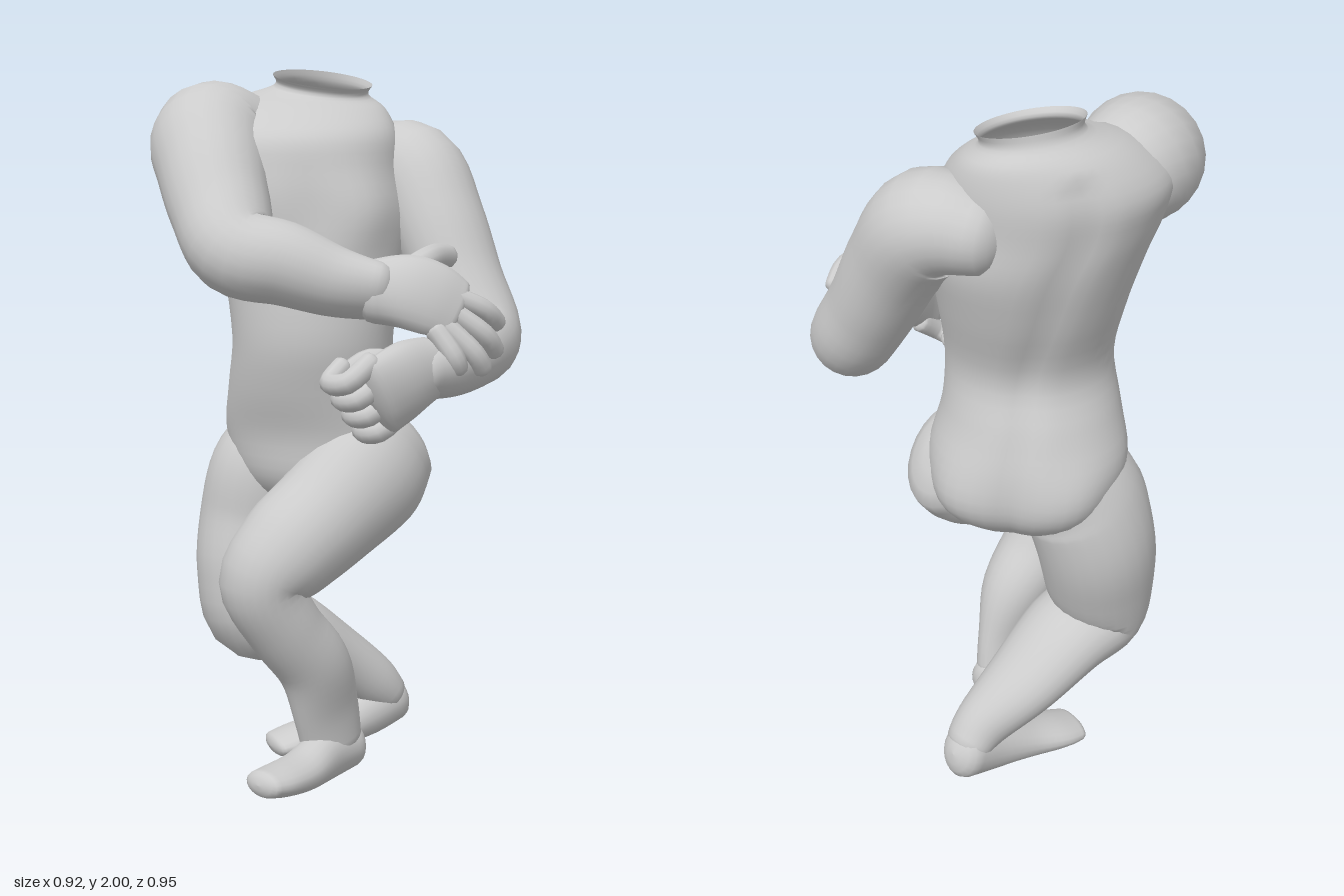
import * as THREE from 'three';

const skin = new THREE.MeshStandardMaterial({ color: 0xcccccc, side: THREE.DoubleSide });
const V = (x, y, z) => new THREE.Vector3(x, y, z);

// Catmull-Rom through rows of any number of columns
function smoothRows(rows, steps) {
  const out = [], last = rows.length - 1;
  const at = i => rows[Math.min(last, Math.max(0, i))];
  for (let i = 0; i < last; i++) {
    for (let s = 0; s < steps; s++) {
      const t = s / steps;
      out.push(rows[i].map((b, k) => {
        const a = at(i - 1)[k], c = at(i + 1)[k], d = at(i + 2)[k];
        return b + 0.5 * t * (c - a + t * (2 * a - 5 * b + 4 * c - d + t * (3 * (b - c) + d - a)));
      }));
    }
  }
  out.push(rows[last]);
  return out;
}

// Skin a list of closed rings with smooth normals
function loft(name, rings) {
  const n = rings[0].length, index = [];
  for (let i = 0; i < rings.length - 1; i++) {
    for (let j = 0; j < n; j++) {
      const a = i * n + j, b = i * n + (j + 1) % n;
      index.push(a, b, b + n, a, b + n, a + n);
    }
  }
  const g = new THREE.BufferGeometry().setFromPoints(rings.flat());
  g.setIndex(index);
  g.computeVertexNormals();
  const mesh = new THREE.Mesh(g, skin);
  mesh.name = name;
  return mesh;
}

// Limb with a rounded far end: rows of [x, y, z, radius across ref, radius along ref].
// The near end is rounded only when it shows.
function limb(name, rows, ref, { sides = 20, steps = 5, roundStart = true } = {}) {
  const s = smoothRows(rows, steps), rings = [], last = s.length - 1;
  const ring = (i, scale, push) => {
    const p = s[i], a = s[Math.max(0, i - 1)], b = s[Math.min(last, i + 1)];
    const t = V(b[0] - a[0], b[1] - a[1], b[2] - a[2]).normalize();
    const side = ref.clone().cross(t).normalize(), other = t.clone().cross(side);
    const c = V(p[0], p[1], p[2]).addScaledVector(t, push * 0.7 * Math.min(p[3], p[4]));
    return Array.from({ length: sides }, (_, j) => {
      const q = j / sides * Math.PI * 2;
      return c.clone().addScaledVector(side, p[3] * scale * Math.cos(q))
        .addScaledVector(other, p[4] * scale * Math.sin(q));
    });
  };
  const cap = [1, 2, 3, 4].map(k => k * Math.PI / 8);
  if (roundStart) for (const f of [...cap].reverse()) rings.push(ring(0, Math.cos(f) + 0.005, -Math.sin(f)));
  for (let i = 0; i <= last; i++) rings.push(ring(i, 1, 0));
  for (const f of cap) rings.push(ring(last, Math.cos(f) + 0.005, Math.sin(f)));
  return loft(name, rings);
}

// Twisted trunk: [y, cx, cz, half width, half depth, turn, rim tilt]
function torso() {
  const rows = smoothRows([
    [0.74, 0.05, -0.15, 0.08, 0.04, 0.97, 0],
    [0.80, 0.06, -0.15, 0.19, 0.14, 0.97, 0],
    [0.88, 0.06, -0.155, 0.25, 0.20, 0.97, 0],
    [1.00, 0.05, -0.16, 0.27, 0.21, 0.97, 0],
    [1.13, 0.02, -0.14, 0.24, 0.215, 0.9, 0],
    [1.27, 0.00, -0.11, 0.225, 0.21, 0.8, 0],
    [1.45, 0.02, -0.14, 0.25, 0.235, 0.65, 0],
    [1.60, 0.03, -0.17, 0.28, 0.25, 0.55, 0],
    [1.72, 0.01, -0.20, 0.29, 0.255, 0.5, 0],
    [1.82, 0.01, -0.22, 0.29, 0.245, 0.5, 0],
    [1.90, 0.06, -0.23, 0.22, 0.18, 0.45, -0.08],
    [1.94, 0.10, -0.22, 0.135, 0.125, 0.3, -0.18],
    [1.97, 0.10, -0.21, 0.14, 0.125, 0.3, -0.22]
  ], 4);
  const bell = (v, w) => Math.exp(-((v / w) ** 2));
  return loft('torso', rows.map(([y, cx, cz, a, b, turn, tilt]) =>
    Array.from({ length: 48 }, (_, j) => {
      const q = j / 48 * Math.PI * 2;
      // angle from the spine, and from the breastbone
      const spine = Math.abs(Math.atan2(-Math.cos(q), Math.sin(q))), front = Math.PI - spine;
      const r = 1 - (y < 1.88 ? 0.06 : 0) * bell(spine, 0.16)
        + 0.12 * bell(spine - 0.6, 0.4) * bell(y - 0.91, 0.11)
        + 0.09 * bell(front - 0.5, 0.35) * bell(y - 1.62, 0.11);
      const u = a * r * Math.cos(q), w = b * r * Math.sin(q);
      const dz = u * Math.sin(turn) - w * Math.cos(turn);
      return V(cx + u * Math.cos(turn) + w * Math.sin(turn), y + dz * tilt, cz + dz);
    })));
}

export function createModel() {
  const g = new THREE.Group();
  g.name = 'figure';
  const zRef = V(0, 0, 1);
  const root = { sides: 24, roundStart: false };
  g.add(torso());

  // Legs and feet
  g.add(limb('leftLeg', [
    [0.18, 0.945, 0.00, 0.165, 0.12], [0.10, 0.885, 0.015, 0.18, 0.15],
    [-0.04, 0.785, 0.018, 0.16, 0.152], [-0.16, 0.70, 0.01, 0.145, 0.15],
    [-0.235, 0.61, -0.005, 0.115, 0.13], [-0.17, 0.48, 0.005, 0.105, 0.118],
    [-0.08, 0.36, 0.015, 0.105, 0.10], [-0.035, 0.22, 0.01, 0.102, 0.066],
    [-0.01, 0.12, 0.0, 0.095, 0.062]], zRef, { sides: 24 }));
  g.add(limb('leftFoot', [
    [0.055, 0.095, -0.01, 0.07, 0.058], [-0.04, 0.09, 0.015, 0.075, 0.063],
    [-0.15, 0.075, 0.06, 0.055, 0.073], [-0.25, 0.08, 0.10, 0.043, 0.073],
    [-0.305, 0.085, 0.115, 0.037, 0.063]], zRef));
  g.add(limb('rightLeg', [
    [0.02, 0.95, -0.28, 0.15, 0.13], [-0.03, 0.86, -0.295, 0.175, 0.155],
    [-0.06, 0.72, -0.315, 0.168, 0.162], [-0.095, 0.57, -0.30, 0.155, 0.157],
    [-0.105, 0.435, -0.285, 0.12, 0.145], [0.01, 0.395, -0.275, 0.108, 0.137],
    [0.15, 0.30, -0.255, 0.09, 0.115], [0.27, 0.20, -0.22, 0.08, 0.082],
    [0.325, 0.15, -0.215, 0.065, 0.07]], zRef, root));
  g.add(limb('rightFoot', [
    [0.35, 0.128, -0.22, 0.078, 0.068], [0.25, 0.095, -0.22, 0.075, 0.07],
    [0.13, 0.06, -0.235, 0.055, 0.075], [0.03, 0.042, -0.26, 0.04, 0.08],
    [-0.025, 0.033, -0.27, 0.03, 0.072]], zRef));

  // Arms folded across the body
  g.add(limb('leftArm', [
    [0.25, 1.72, -0.19, 0.115, 0.11], [0.30, 1.715, -0.06, 0.145, 0.14],
    [0.31, 1.58, 0.05, 0.14, 0.13], [0.32, 1.42, 0.14, 0.13, 0.12],
    [0.32, 1.29, 0.23, 0.12, 0.115], [0.22, 1.25, 0.31, 0.10, 0.105],
    [0.10, 1.23, 0.36, 0.085, 0.09], [0.01, 1.22, 0.385, 0.065, 0.075]], V(0.3, 0.55, 0.8), { sides: 24 }));
  g.add(limb('rightArm', [
    [-0.12, 1.79, -0.30, 0.145, 0.15], [-0.22, 1.80, -0.28, 0.165, 0.165],
    [-0.28, 1.72, -0.17, 0.15, 0.15], [-0.32, 1.62, -0.06, 0.135, 0.13],
    [-0.34, 1.53, 0.05, 0.12, 0.115], [-0.25, 1.50, 0.14, 0.11, 0.11],
    [-0.15, 1.455, 0.22, 0.09, 0.095], [-0.06, 1.43, 0.29, 0.065, 0.085]], V(-0.2, 0.8, 0.6), root));

  // Right hand: palm, spread fingers and thumb
  g.add(limb('rightHand', [
    [-0.07, 1.43, 0.285, 0.065, 0.085], [0.0, 1.43, 0.335, 0.055, 0.10],
    [0.06, 1.41, 0.37, 0.045, 0.10], [0.11, 1.38, 0.395, 0.032, 0.088]], V(0.3, 0.8, -0.2)));
  const digit = (name, pts, r, ref) =>
    g.add(limb(name, pts.map((p, i) => [...p, r - i * 0.001, r - i * 0.001]), ref, { sides: 10, steps: 4 }));
  [
    [[0.10, 1.42, 0.38], [0.19, 1.38, 0.415], [0.245, 1.34, 0.40]],
    [[0.10, 1.38, 0.39], [0.175, 1.32, 0.435], [0.225, 1.27, 0.42]],
    [[0.08, 1.34, 0.40], [0.135, 1.275, 0.445], [0.17, 1.23, 0.44]],
    [[0.05, 1.33, 0.40], [0.075, 1.27, 0.44], [0.095, 1.235, 0.435]]
  ].forEach((p, i) => digit('rightFinger' + (i + 1), p, 0.029, zRef));
  digit('rightThumb', [[0.0, 1.47, 0.32], [0.07, 1.50, 0.31], [0.13, 1.51, 0.28], [0.195, 1.505, 0.245]], 0.036, zRef);

  // Left hand: loosely closed fist
  g.add(limb('leftHand', [
    [0.04, 1.23, 0.37, 0.07, 0.085], [-0.05, 1.21, 0.40, 0.06, 0.105],
    [-0.125, 1.175, 0.405, 0.045, 0.11]], V(-0.35, 0.8, 0.1)));
  const row = V(0.13, -0.145, -0.03).normalize();
  for (let i = 0; i < 4; i++) {
    const k = V(-0.21, 1.225, 0.395).lerp(V(-0.09, 1.085, 0.365), i / 3);
    const curl = [[0.05, 0.04, 0.01], [-0.012, -0.008, 0], [-0.02, -0.015, -0.07], [0.03, 0.02, -0.09]]
      .map(([x, y, z]) => [k.x + x, k.y + y, k.z + z]);
    digit('leftFinger' + (i + 1), curl, 0.03, row);
  }
  digit('leftThumb', [[-0.04, 1.25, 0.36], [-0.11, 1.26, 0.33], [-0.16, 1.23, 0.31]], 0.03, V(0, 1, 0));
  return g;
}
